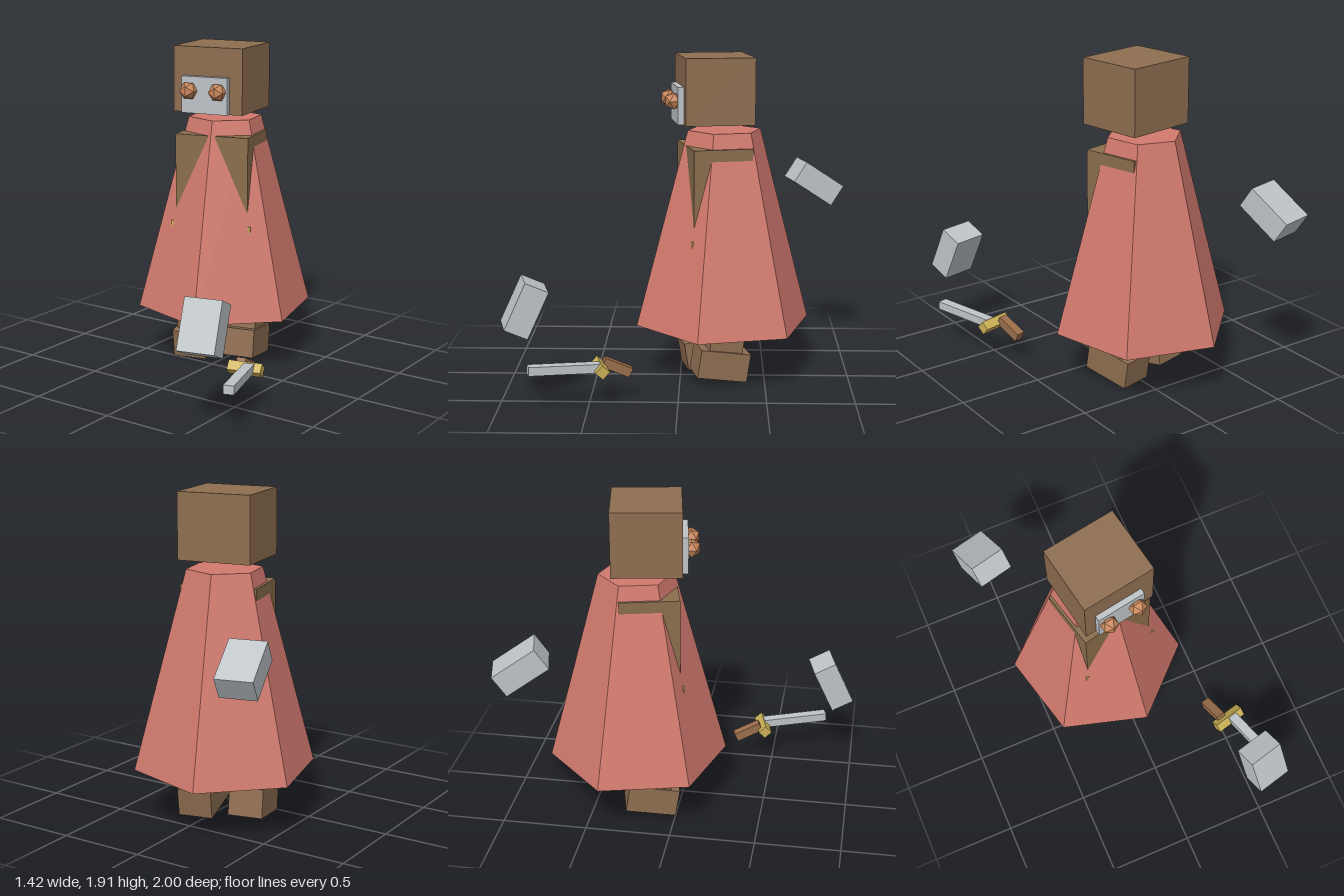
import * as THREE from 'three';

const mat = (name, color) => {
  const m = new THREE.MeshStandardMaterial({ color, flatShading: true });
  m.name = name;
  return m;
};
const deg = THREE.MathUtils.degToRad;

export function createModel() {
  const model = new THREE.Group();
  model.name = 'cloakedFigure';

  const leather = mat('leather brown', 0x8e6e51);
  const shirt = mat('shirt brown', 0x8a6e4d);
  const cloth = mat('cloak red', 0xd27a6e);
  const steel = mat('steel grey', 0xbfc4c8);
  const gold = mat('gold', 0xcbb056);
  const copper = mat('eye copper', 0xc9875a);
  const wood = mat('grip wood', 0x9c6e4a);

  const add = (parent, name, geometry, material, pos, pitch = 0, yaw = 0) => {
    const mesh = new THREE.Mesh(geometry, material);
    mesh.name = name;
    mesh.position.set(...pos);
    mesh.rotation.set(deg(pitch), deg(yaw), 0, 'YXZ');
    parent.add(mesh);
    return mesh;
  };
  const box = (parent, name, size, ...rest) =>
    add(parent, name, new THREE.BoxGeometry(...size), ...rest);
  const group = (name, pos, pitch, yaw) => {
    const g = new THREE.Group();
    g.name = name;
    g.position.set(...pos);
    g.rotation.set(deg(pitch), deg(yaw), 0, 'YXZ');
    model.add(g);
    return g;
  };

  const YAW = 13.9; // the whole body is turned a little to its left

  // Torso, belt and the six-sided cloak over them
  const torso = group('torso', [-0.0675, 0, -0.1975], 0, YAW);
  box(torso, 'chest', [0.451, 0.64, 0.347], shirt, [0, 1.068, 0]);
  box(torso, 'belt', [0.498, 0.13, 0.383], gold, [0, 0.8, 0]);
  add(torso, 'cloak', new THREE.CylinderGeometry(0.219, 0.528, 1.158, 6), cloth, [0, 0.896, -0.059]);

  // Head with face plate and faceted eyes
  const head = group('head', [-0.064, 1.717, -0.196], 0, 9.9);
  box(head, 'skull', [0.434, 0.383, 0.401], leather, [0, 0, 0]);
  box(head, 'facePlate', [0.29, 0.214, 0.034], steel, [-0.008, -0.084, 0.217]);
  for (const s of [-1, 1]) {
    add(head, s < 0 ? 'rightEye' : 'leftEye', new THREE.IcosahedronGeometry(0.054, 0), copper,
      [-0.008 + s * 0.091, -0.059, 0.251]);
  }

  // Legs with boots, striding
  for (const [side, pos, pitch] of [
    ['right', [-0.215, 0.106, -0.155], 9],
    ['left', [0.083, 0.11, -0.238], -9],
  ]) {
    const leg = group(side + 'Leg', pos, pitch, YAW);
    box(leg, side + 'Boot', [0.205, 0.168, 0.3], leather, [0, 0, 0]);
    box(leg, side + 'Shin', [0.178, 0.34, 0.2], leather, [0, 0.2, 0]);
  }

  // Floating gauntlets, one swung back and one forward
  const glove = [0.212, 0.287, 0.142];
  box(model, 'rightGauntlet', glove, steel, [-0.569, 1.083, -0.82], 56.5, YAW);
  box(model, 'leftGauntlet', glove, steel, [0.54, 0.565, 0.853], -25, YAW);

  // Sword
  const sword = new THREE.Group();
  sword.name = 'sword';
  model.add(sword);
  box(sword, 'blade', [0.06, 0.05, 0.41], steel, [0.614, 0.231, 0.628], -2.5, 17.7);
  box(sword, 'guard', [0.195, 0.058, 0.058], gold, [0.529, 0.212, 0.437], -42, YAW);
  box(sword, 'grip', [0.055, 0.055, 0.17], wood, [0.468, 0.199, 0.347], -25, YAW);

  return model;
}
